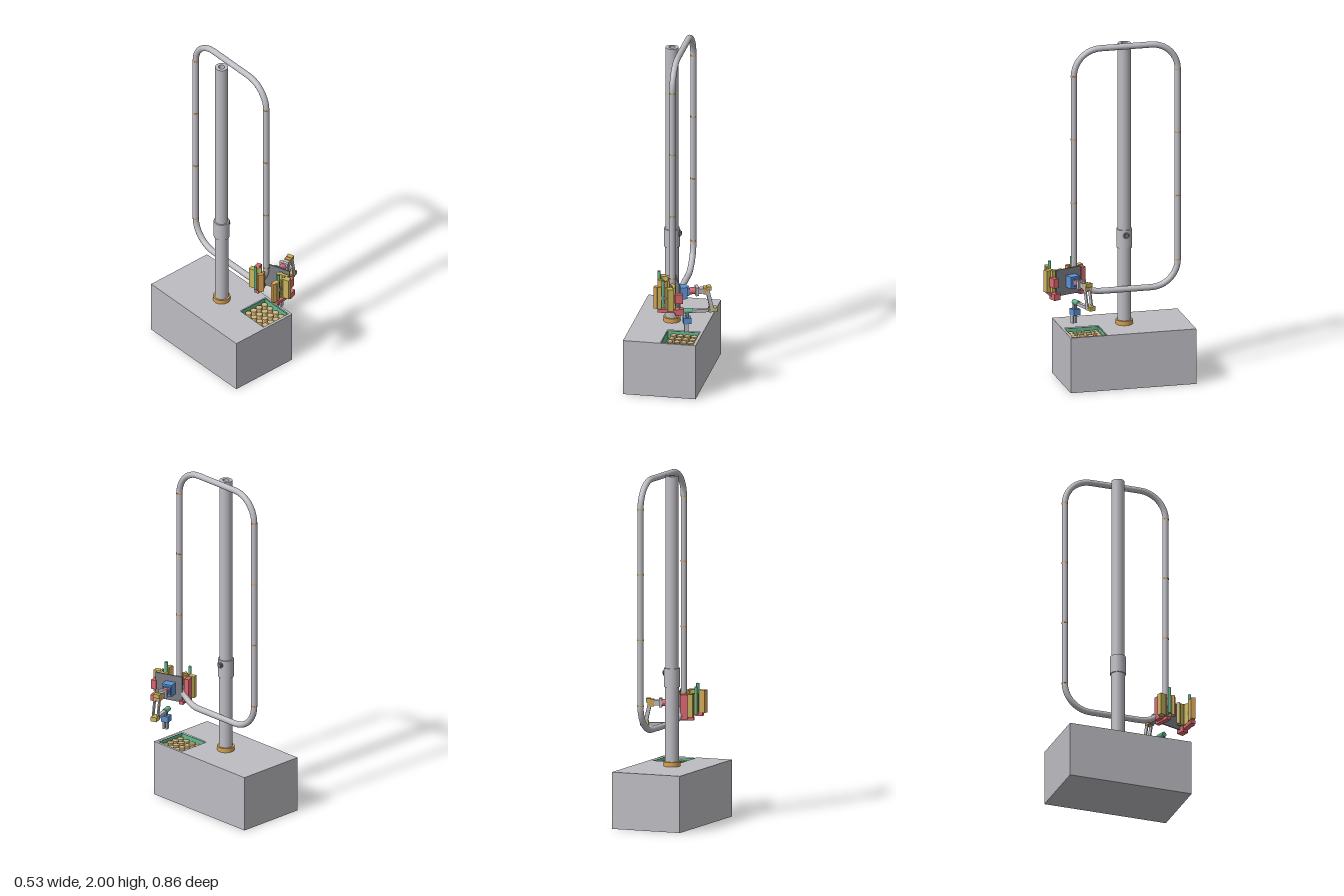
import * as THREE from 'three';

const paint = (name, color) => {
  const m = new THREE.MeshStandardMaterial({ color });
  m.name = name;
  return m;
};

export function createModel() {
  const grey = paint('light grey', 0xbcbcc2), dark = paint('dark grey', 0x7c7e84);
  const red = paint('red', 0xda6870), yellow = paint('yellow', 0xc8b45c), blue = paint('blue', 0x5c92d4);
  const green = paint('green', 0x62b68c), tan = paint('tan', 0xd6a052), cupTan = paint('cup tan', 0xd2b67e);
  const model = new THREE.Group();
  model.name = 'pipeLoopRobot';

  const add = (name, geo, mat, x = 0, y = 0, z = 0, turn = 0) => {
    const mesh = new THREE.Mesh(geo, mat);
    mesh.name = name;
    mesh.position.set(x, y, z);
    mesh.rotation.y = turn;
    model.add(mesh);
    return mesh;
  };
  const box = (name, mat, size, pos, turn = 0) => add(name, new THREE.BoxGeometry(...size), mat, ...pos, turn);
  const cyl = (name, mat, r, h, pos, sides = 24) => add(name, new THREE.CylinderGeometry(r, r, h, sides), mat, ...pos);
  const rectangle = (Type, x0, x1, z0, z1) => new Type([[x0, z0], [x1, z0], [x1, z1], [x0, z1]]
    .map(([x, z]) => new THREE.Vector2(x, -z)));
  const upright = (shape, h) => new THREE.ExtrudeGeometry(shape, { depth: h, bevelEnabled: false, curveSegments: 12 }).rotateX(-Math.PI / 2);

  // Base block with a shallow open bay in the top
  const floor = 0.265, top = 0.325;
  box('baseBlock', grey, [0.42, floor, 0.735], [-0.054, floor / 2, -0.0625]);
  const rim = rectangle(THREE.Shape, -0.264, 0.156, -0.43, 0.305);
  rim.holes.push(rectangle(THREE.Path, -0.049, 0.141, 0.09, 0.29));
  add('baseRim', upright(rim, top - floor), grey, 0, floor, 0);

  // Lined sample tray and its cups
  box('trayFloor', green, [0.19, 0.008, 0.2], [0.046, floor + 0.004, 0.19]);
  for (const x of [-0.047, 0.139]) box('traySide', green, [0.004, 0.055, 0.2], [x, 0.2945, 0.19]);
  for (const z of [0.092, 0.288]) box('trayEnd', green, [0.19, 0.055, 0.004], [0.046, 0.2945, z]);
  for (let i = 0; i < 4; i++) for (let j = 0; j < 4; j++)
    cyl('cup', cupTan, 0.018, 0.04, [-0.01 + i * 0.04, 0.288, 0.118 + j * 0.048], 20);

  // Column: collar, lower pole, sleeve and hollow upper pole
  const px = -0.054, pz = -0.063;
  cyl('columnCollar', tan, 0.049, 0.026, [px, 0.338, pz], 32);
  cyl('lowerPole', grey, 0.039, 0.5, [px, 0.55, pz], 32);
  cyl('poleSleeve', grey, 0.045, 0.108, [px, 0.832, pz], 32);
  const pole = [[0, 0.8], [0.037, 0.8], [0.037, 1.985], [0.018, 1.985], [0.018, 1.85], [0, 1.85]];
  const segments = pole.slice(1).map((p, i) => [pole[i], p].map(q => new THREE.Vector2(...q)));
  for (const s of segments) add('upperPole', new THREE.LatheGeometry(s, 32), grey, px, 0, pz);

  // Locking knob on the sleeve
  const knob = add('lockingKnob', new THREE.CylinderGeometry(0.008, 0.022, 0.025, 16), dark, -0.02, 0.857, pz);
  knob.rotation.z = Math.PI / 2;
  box('knobGrip', dark, [0.02, 0.018, 0.022], [-0.009, 0.857, pz]);

  // Upright pipe loop: four straights and four segmented bends
  const lx = 0.01, r = 0.0175, z0 = -0.36, z1 = 0.249, y0 = 0.547, y1 = 1.982, bend = 0.155;
  const ym = (y0 + y1) / 2, zm = (z0 + z1) / 2;
  for (const z of [z0, z1]) {
    cyl('pipeUpright', grey, r, y1 - y0 - 2 * bend, [lx, ym, z]);
    for (const y of [y0 + bend, 1.08, 1.455, y1 - bend]) cyl('pipeJoint', tan, r + 0.0012, 0.007, [lx, y, z]);
  }
  for (const y of [y0, y1]) cyl('pipeCross', grey, r, z1 - z0 - 2 * bend, [lx, y, zm]).rotation.x = Math.PI / 2;
  for (let k = 0; k < 4; k++) {
    const cy = k < 2 ? y1 - bend : y0 + bend;
    const cz = k === 0 || k === 3 ? z0 + bend : z1 - bend;
    const geo = new THREE.TorusGeometry(bend, r, 20, 10, Math.PI / 2).rotateZ(k * Math.PI / 2).rotateY(Math.PI / 2);
    add('pipeBend', geo, grey, lx, cy, cz);
  }

  // Robot carriage: plate and body
  const turn = 0.34;
  box('carriagePlate', dark, [0.007, 0.155, 0.17], [0.05, 0.632, 0.292], turn);
  box('carriageBody', blue, [0.058, 0.07, 0.062], [0.07, 0.635, 0.272], turn);
  box('bodyFlange', blue, [0.016, 0.045, 0.045], [0.1, 0.637, 0.255], turn);

  // Manipulator, laid out along the turned x axis
  const arm = (name, mat, size, along, y) => box(name, mat, size,
    [0.07 + along * Math.cos(turn), y, 0.27 - along * Math.sin(turn)], turn);
  const roller = (name, mat, rad, len, along, y, sides = 16) => {
    const m = arm(name, mat, [1, 1, 1], along, y);
    m.geometry = new THREE.CylinderGeometry(rad, rad, len, sides).rotateZ(Math.PI / 2);
  };
  roller('shoulderAxle', dark, 0.014, 0.16, 0.07, 0.637);
  roller('shoulderMotor', red, 0.02, 0.036, 0.06, 0.637);
  arm('shoulderBracket', grey, [0.018, 0.05, 0.052], 0.085, 0.637);
  arm('shoulderLink', grey, [0.045, 0.03, 0.034], 0.11, 0.637);
  arm('elbowBlock', tan, [0.036, 0.04, 0.036], 0.14, 0.637);
  for (const s of [-1, 1]) {
    const link = new THREE.BoxGeometry(0.022, 0.13, 0.007).rotateZ(0.22).translate(0, 0, s * 0.015);
    add('upperArm', link, grey, 0.22, 0.58, 0.22, turn);
  }
  arm('elbowCap', yellow, [0.026, 0.022, 0.038], 0.154, 0.65);
  arm('wristBlock', yellow, [0.048, 0.026, 0.036], 0.176, 0.52);
  arm('forearm', grey, [0.12, 0.018, 0.022], 0.1, 0.515);
  roller('wristMotor', green, 0.015, 0.05, 0.034, 0.517);
  box('toolStem', dark, [0.018, 0.03, 0.018], [0.1, 0.494, 0.267], turn);
  box('toolHead', blue, [0.044, 0.036, 0.044], [0.098, 0.463, 0.266], turn);
  for (const s of [-1, 1]) box('toolFinger', grey, [0.024, 0.05, 0.009], [0.095 + s * 0.003, 0.421, 0.272 + s * 0.009], turn);

  // Curved clamp jaw opening sideways
  const jaw = (mat, x, y, z, h, start, end) => {
    const shape = new THREE.Shape();
    shape.absarc(0, 0, 0.031, start, end, false);
    shape.absarc(0, 0, 0.022, end, start, true);
    add('clampJaw', upright(shape, h), mat, x, y, z);
  };

  // Rear clamp beside the pipe
  box('rearClampMotor', red, [0.045, 0.14, 0.028], [-0.012, 0.627, 0.2], turn);
  box('rearClampBlock', yellow, [0.03, 0.13, 0.034], [-0.05, 0.635, 0.203], turn);
  jaw(yellow, -0.037, 0.57, 0.243, 0.13, 0.3, 2.6);
  jaw(tan, -0.037, 0.58, 0.243, 0.11, 3.4, 5.6);
  box('rearClampPad', tan, [0.032, 0.12, 0.022], [-0.052, 0.637, 0.271], -0.5);
  cyl('rearClampPin', green, 0.009, 0.16, [-0.067, 0.66, 0.243], 12);
  box('rearClampRail', red, [0.1, 0.02, 0.026], [-0.01, 0.556, 0.225], turn);

  // Front clamp at the end of the plate
  box('frontClampMotor', red, [0.045, 0.055, 0.03], [0.073, 0.635, 0.381], turn);
  box('frontClampFoot', red, [0.05, 0.036, 0.04], [0.075, 0.555, 0.376], turn);
  box('frontClampRail', red, [0.12, 0.02, 0.03], [0.015, 0.562, 0.39], 0.1);
  box('frontClampBlock', yellow, [0.032, 0.13, 0.036], [0.029, 0.635, 0.406], turn);
  box('frontClampArm', yellow, [0.016, 0.13, 0.05], [0.042, 0.635, 0.367], turn);
  box('frontClampTip', yellow, [0.034, 0.13, 0.018], [0.032, 0.635, 0.338], -0.6);
  jaw(yellow, 0.004, 0.57, 0.363, 0.13, 4.5, 6.2);
  cyl('frontClampPin', green, 0.009, 0.165, [-0.017, 0.657, 0.384], 12);
  box('frontClampBridge', dark, [0.08, 0.02, 0.014], [-0.005, 0.635, 0.388], -0.05);
  for (const s of [-1, 1]) box('frontClampPad', s < 0 ? tan : yellow, [0.022, 0.13, 0.026], [-0.046 + s * 0.01, 0.637, 0.389], s * 0.2);

  return model;
}
